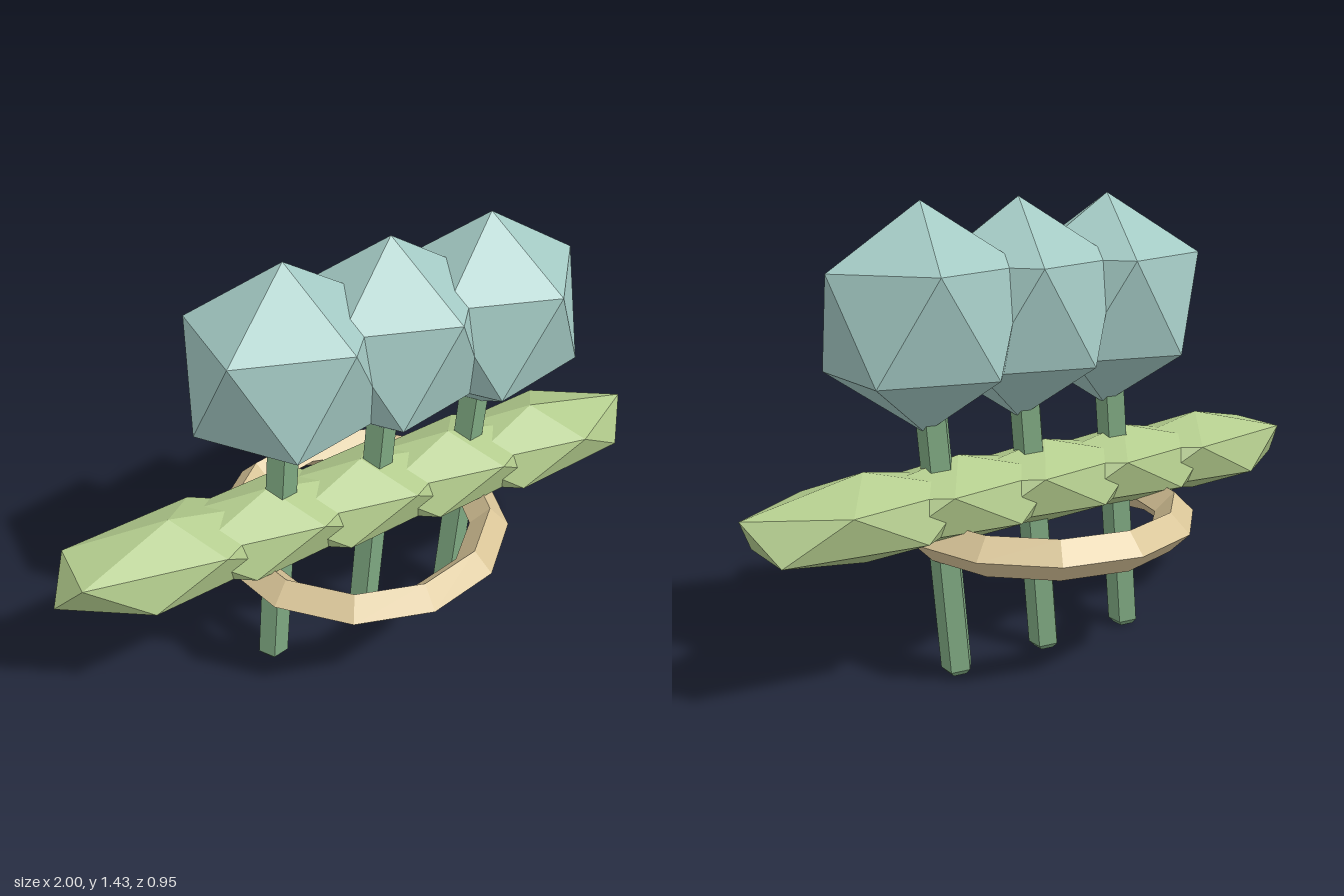
import * as THREE from 'three';

const flat = (color) => new THREE.MeshStandardMaterial({ color, flatShading: true });

// Icosahedron standing on a corner, with an upper corner towards +x, stretched per axis
function facetedBlob(rx, ry, rz) {
  const golden = (1 + Math.sqrt(5)) / 2;
  const geometry = new THREE.IcosahedronGeometry(1, 0);
  geometry.rotateZ(-Math.atan(1 / golden));
  geometry.scale(rx, ry, rz);
  geometry.computeVertexNormals();
  return geometry;
}

export function createModel() {
  const model = new THREE.Group();
  const add = (name, geometry, material, x, y) => {
    const mesh = new THREE.Mesh(geometry, material);
    mesh.name = name;
    mesh.position.set(x, y, 0);
    model.add(mesh);
    return mesh;
  };

  // Leaning stems with chamfered ends, each topped by a faceted crown
  const stemProfile = [[0, 0], [0.033, 0], [0.05, 0.018], [0.05, 1.08], [0.033, 1.1], [0, 1.1]]
    .map(([r, y]) => new THREE.Vector2(r, y));
  const stemGeometry = new THREE.LatheGeometry(stemProfile, 5, -Math.PI / 2);
  const stemMaterial = flat(0x7fa982);
  const crownGeometry = facetedBlob(0.33, 0.33, 0.3);
  const crownMaterial = flat(0xa3c9c3);
  for (const x of [-0.33, 0, 0.33]) {
    add('stem', stemGeometry, stemMaterial, x, 0.003).rotation.z = -0.086;
    add('crown', crownGeometry, crownMaterial, x + 0.095, 1.102);
  }

  // Hedge: a row of overlapping stretched blobs
  const hedgeGeometry = facetedBlob(0.414, 0.134, 0.19);
  const hedgeMaterial = flat(0xb2cb8c);
  for (let i = -2; i <= 2; i++) add('hedgeClump', hedgeGeometry, hedgeMaterial, i * 0.315, 0.556);

  // Binding ring with a diamond section
  const ringGeometry = new THREE.TorusGeometry(0.412, 0.062, 4, 12);
  ringGeometry.rotateX(Math.PI / 2);
  add('ring', ringGeometry, flat(0xd9c598), 0, 0.443);

  return model;
}
